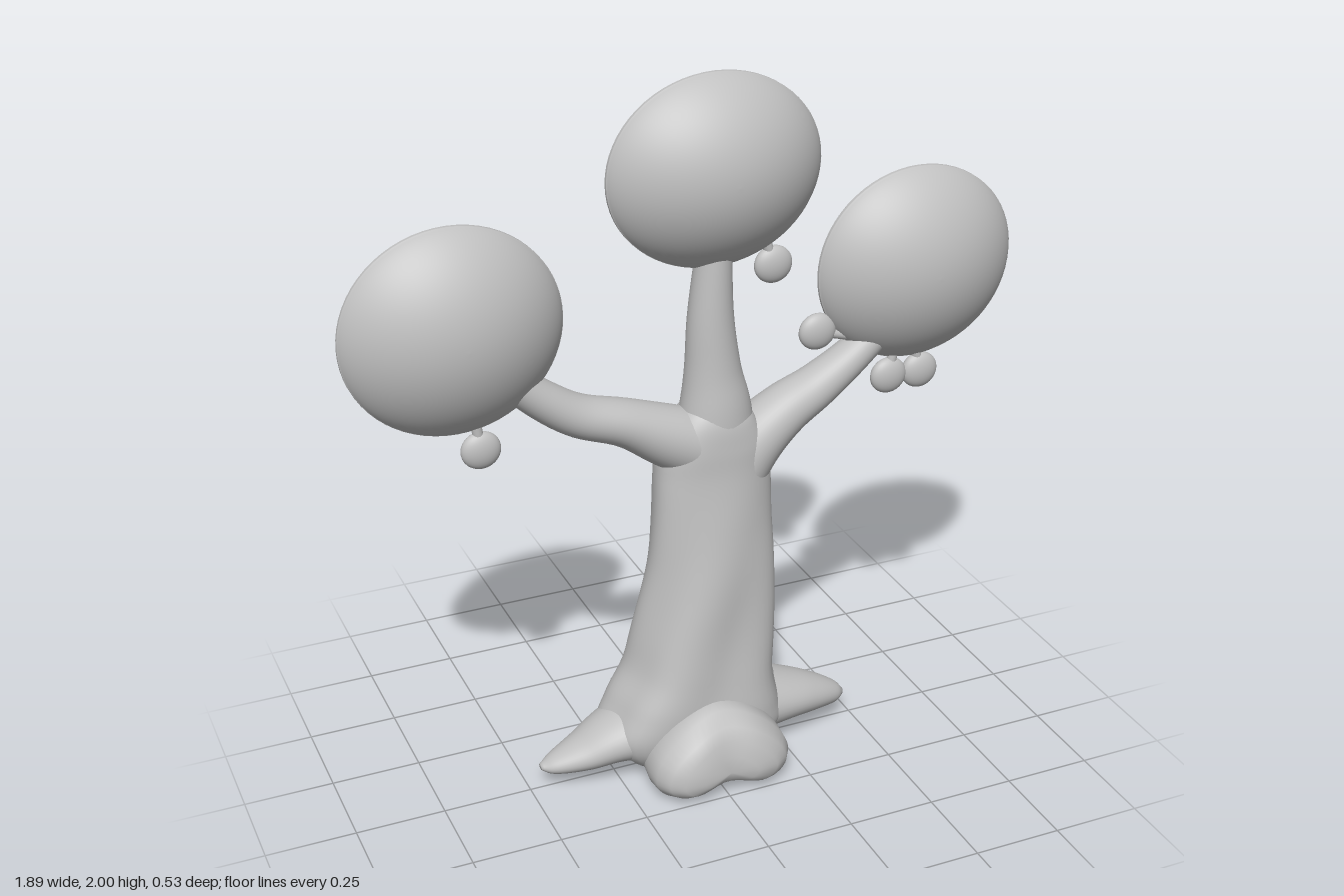
import * as THREE from 'three';

const bark = new THREE.MeshStandardMaterial({ color: 0xc0c0c0 });
bark.name = 'plain grey';

// Skin a list of rings (equal point counts) and close both ends
function skin(rings) {
  const n = rings[0].length, pos = [], idx = [];
  rings.forEach(r => r.forEach(p => pos.push(p.x, p.y, p.z)));
  for (let k = 0; k < rings.length - 1; k++) {
    for (let i = 0; i < n; i++) {
      const j = (i + 1) % n, a = k * n + i, b = k * n + j;
      idx.push(a, a + n, b, b, a + n, b + n);
    }
  }
  [0, rings.length - 1].forEach((k, end) => {
    const c = rings[k].reduce((s, p) => s.add(p), new THREE.Vector3()).divideScalar(n);
    const ci = pos.length / 3;
    pos.push(c.x, c.y, c.z);
    for (let i = 0; i < n; i++) {
      const a = k * n + i, b = k * n + (i + 1) % n;
      if (end) idx.push(ci, b, a); else idx.push(ci, a, b);
    }
  });
  const g = new THREE.BufferGeometry();
  g.setAttribute('position', new THREE.Float32BufferAttribute(pos, 3));
  g.setIndex(idx);
  g.computeVertexNormals();
  return g;
}

// Limb in the xy plane; each row is [x, y, radius in plane, radius in z]
function limb(rows, steps, shape = () => 1, sides = 40) {
  const path = new THREE.CatmullRomCurve3(rows.map(r => new THREE.Vector3(r[0], r[1], 0)), false, 'catmullrom');
  const size = new THREE.CatmullRomCurve3(rows.map(r => new THREE.Vector3(r[2], r[3], 0)), false, 'catmullrom');
  const rings = [];
  for (let k = 0; k <= steps; k++) {
    const t = k / steps, c = path.getPoint(t), s = size.getPoint(t), T = path.getTangent(t);
    const ring = [];
    for (let i = 0; i < sides; i++) {
      const a = i / sides * Math.PI * 2, m = shape(a, c.y);
      const u = Math.cos(a) * s.x * m;
      ring.push(new THREE.Vector3(c.x + T.y * u, c.y - T.x * u, Math.sin(a) * s.y * m));
    }
    rings.push(ring);
  }
  return skin(rings);
}

// Wide lobed root running from the front to the back of the trunk
function crossRoot() {
  const outline = new THREE.CatmullRomCurve3([
    [-0.2, 0.05], [-0.19, 0.13], [-0.1, 0.225], [0, 0.26], [0.1, 0.225], [0.19, 0.13],
    [0.205, 0.06], [0.15, 0.005], [0, 0.025], [-0.15, 0.005],
  ].map(p => new THREE.Vector3(p[0], p[1], 0)), true).getPoints(48).slice(0, 48);
  const half = [[0.272, 0.4, 0.3], [0.262, 0.68, 0.55], [0.24, 0.86, 0.74], [0.2, 0.98, 0.92], [0.15, 1, 1], [0.08, 0.95, 0.9]];
  const rows = [...half.map(([z, a, b]) => [-z, a, b]), [0, 0.9, 0.8], ...half.slice().reverse()];
  return skin(rows.map(([z, sx, sy]) => outline.map(p => {
    const x = p.x * sx, dip = 0.02 * Math.exp(-((x / 0.07) ** 2)) * z / 0.26;
    return new THREE.Vector3(x, 0.075 + (p.y - 0.075) * sy + Math.max(0, -z) * 0.1, z - dip);
  })));
}

// Lens-shaped crown with a sharp rim
function crown(rx, ry, rz) {
  const pts = [], n = 28;
  const height = r => Math.max(0.03, Math.pow(Math.max(0, 1 - r * r), 0.75));
  for (let i = 0; i <= n; i++) {
    const r = Math.sin(i / n * Math.PI / 2);
    pts.push(new THREE.Vector2(r, -height(r)));
  }
  for (let i = n; i >= 0; i--) {
    const r = Math.sin(i / n * Math.PI / 2);
    pts.push(new THREE.Vector2(r, height(r)));
  }
  pts[0].x = pts[pts.length - 1].x = 0;
  return new THREE.LatheGeometry(pts, 64).rotateX(Math.PI / 2).scale(rx, ry, rz);
}

export function createModel() {
  const tree = new THREE.Group();
  tree.name = 'tree';
  const add = (name, geometry, x = 0, y = 0, parent = tree) => {
    const m = new THREE.Mesh(geometry, bark);
    m.name = name;
    m.position.set(x, y, 0);
    parent.add(m);
    return m;
  };

  // Trunk with twisting ridges that fade toward the top
  const ridges = (a, y) => {
    const fade = THREE.MathUtils.clamp((1.0 - y) / 0.5, 0, 1);
    const square = 1 + 0.05 * Math.sin(2 * a) ** 2;
    return square * (1 + 0.045 * fade * Math.cos(5 * a + y * 6));
  };
  add('trunk', limb([
    [0, 0.05, 0.22, 0.13], [0, 0.12, 0.28, 0.155], [0.005, 0.2, 0.255, 0.163], [0.015, 0.3, 0.215, 0.157],
    [0.027, 0.42, 0.2, 0.147], [0.043, 0.6, 0.18, 0.135], [0.047, 0.75, 0.17, 0.118], [0.05, 0.9, 0.166, 0.1],
    [0.05, 0.99, 0.155, 0.095], [0.055, 1.06, 0.115, 0.085], [0.06, 1.11, 0.07, 0.06],
  ], 60, ridges, 60));

  // Roots
  add('crossRoot', crossRoot());
  add('rightRoot', limb([
    [-0.08, 0.15, 0.12, 0.14], [-0.24, 0.125, 0.075, 0.105], [-0.34, 0.092, 0.05, 0.075],
    [-0.43, 0.072, 0.027, 0.04], [-0.468, 0.07, 0.008, 0.012],
  ], 24));
  add('leftRoot', limb([
    [0.08, 0.15, 0.12, 0.14], [0.26, 0.13, 0.075, 0.105], [0.36, 0.11, 0.055, 0.075],
    [0.44, 0.088, 0.033, 0.04], [0.472, 0.08, 0.01, 0.012],
  ], 24));

  // Branches
  add('middleBranch', limb([
    [0.06, 0.92, 0.12, 0.09], [0.06, 1.08, 0.1, 0.085], [0.052, 1.2, 0.077, 0.07],
    [0.046, 1.35, 0.062, 0.06], [0.055, 1.54, 0.046, 0.05],
  ], 28));
  add('rightBranch', limb([
    [0.06, 0.96, 0.1, 0.09], [-0.07, 1.02, 0.087, 0.085], [-0.2, 1.085, 0.065, 0.072],
    [-0.33, 1.13, 0.058, 0.062], [-0.43, 1.195, 0.053, 0.056], [-0.53, 1.28, 0.045, 0.05],
  ], 30));
  add('leftBranch', limb([
    [0.11, 0.86, 0.085, 0.085], [0.17, 0.96, 0.085, 0.088], [0.26, 1.035, 0.072, 0.078],
    [0.36, 1.09, 0.061, 0.066], [0.47, 1.165, 0.05, 0.056], [0.58, 1.26, 0.042, 0.05],
  ], 30));

  // Crowns
  add('rightCrown', crown(0.292, 0.278, 0.145), -0.655, 1.418);
  add('middleCrown', crown(0.298, 0.258, 0.155), 0.057, 1.742);
  add('leftCrown', crown(0.292, 0.273, 0.145), 0.65, 1.405);

  // Hanging fruits: fruit position, then where the stem meets the crown
  const fruitShape = new THREE.SphereGeometry(1, 32, 20).scale(0.054, 0.052, 0.027);
  [
    [-0.595, 1.082, -0.607, 1.17], [0.225, 1.464, 0.2, 1.54], [0.36, 1.25, 0.45, 1.225],
    [0.583, 1.082, 0.6, 1.17], [0.68, 1.082, 0.66, 1.17],
  ].forEach(([x, y, sx, sy]) => {
    const fruit = new THREE.Group();
    fruit.name = 'fruit';
    fruit.position.set(x, y, 0);
    tree.add(fruit);
    add('fruitBody', fruitShape, 0, 0, fruit);
    const dx = sx - x, dy = sy - y;
    const stem = add('fruitStem', new THREE.CylinderGeometry(0.014, 0.014, Math.hypot(dx, dy), 16), dx / 2, dy / 2, fruit);
    stem.rotation.z = Math.atan2(-dx, dy);
  });

  return tree;
}
